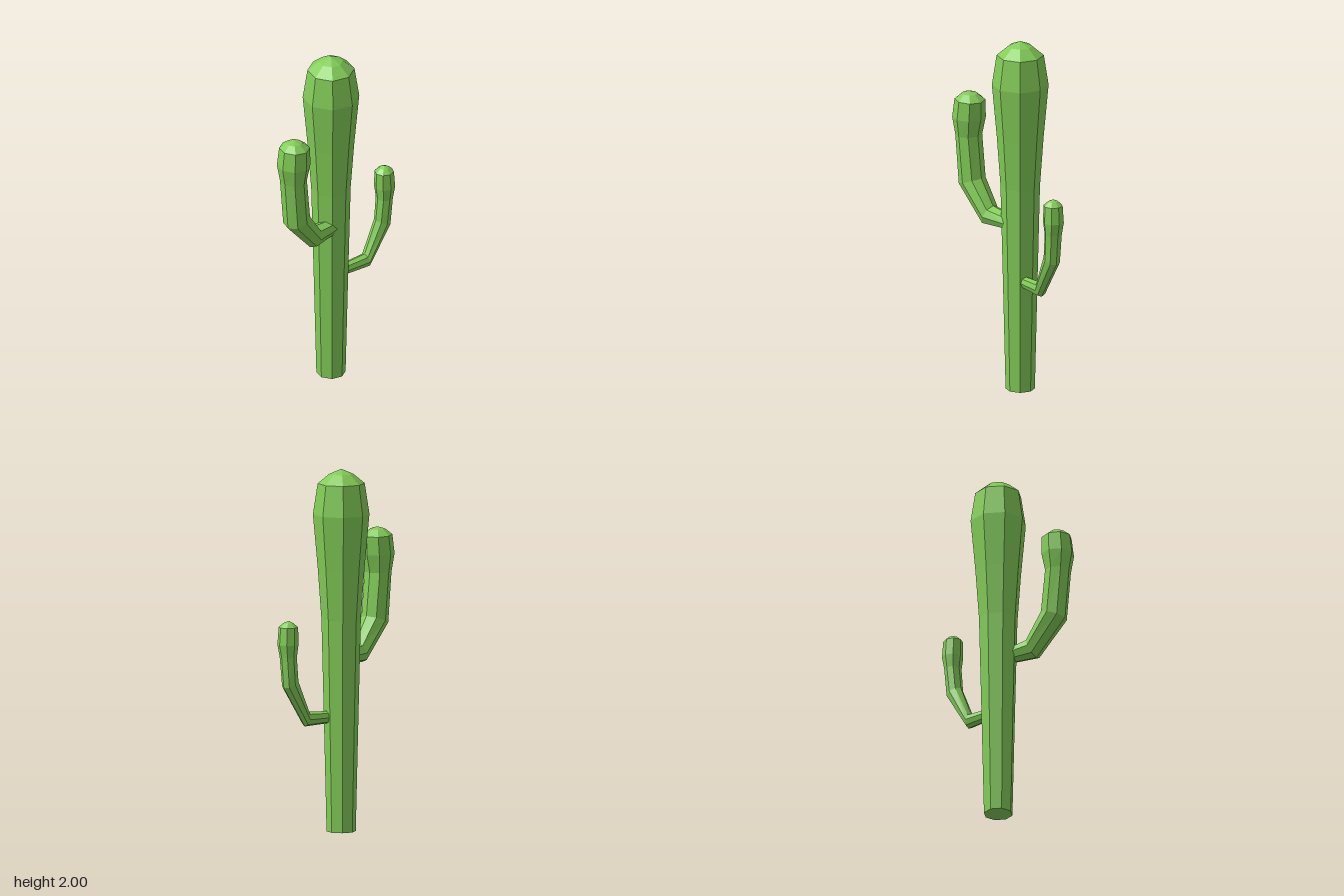
import * as THREE from 'three';

const SIDES = 8;
const green = new THREE.MeshStandardMaterial({ color: 0x82cc57 });
green.name = 'cactus green';

// Gives every face its own flat normal
function faceted(geometry) {
  const flat = geometry.toNonIndexed();
  flat.computeVertexNormals();
  return flat;
}

function part(name, geometry) {
  const mesh = new THREE.Mesh(faceted(geometry), green);
  mesh.name = name;
  return mesh;
}

// Bent arm: each ring is [inner reach, inner y, outer reach, outer y, half width],
// with reach measured from the origin along dir
function armGeometry(origin, dir, rings) {
  const side = new THREE.Vector3(dir.z, 0, -dir.x).normalize();
  const positions = [];
  const indices = [];
  rings.forEach(([d0, y0, d1, y1, r], k) => {
    for (let i = 0; i < SIDES; i++) {
      const a = (i / SIDES) * Math.PI * 2;
      const c = Math.cos(a);
      const reach = (d0 + d1) / 2 + ((d1 - d0) / 2) * c;
      const p = origin.clone().addScaledVector(dir, reach).addScaledVector(side, r * Math.sin(a));
      positions.push(p.x, (y0 + y1) / 2 + ((y1 - y0) / 2) * c, p.z);
      if (k > 0) {
        const j = (i + 1) % SIDES;
        const lo = (k - 1) * SIDES;
        const hi = k * SIDES;
        indices.push(lo + i, lo + j, hi + j, lo + i, hi + j, hi + i);
      }
    }
  });
  const geometry = new THREE.BufferGeometry();
  geometry.setAttribute('position', new THREE.Float32BufferAttribute(positions, 3));
  geometry.setIndex(indices);
  return geometry;
}

export function createModel() {
  const group = new THREE.Group();
  group.name = 'cactus';

  // Trunk: widens upwards to a low dome
  const profile = [
    [0, 0], [0.08, 0], [0.094, 0.6], [0.108, 1.17], [0.128, 1.45],
    [0.155, 1.75], [0.129, 1.92], [0.066, 1.972], [0, 2],
  ].map(([r, y]) => new THREE.Vector2(r, y));
  const trunk = part('trunk', new THREE.LatheGeometry(profile, SIDES));
  trunk.position.x = 0.02;
  group.add(trunk);

  // Upper arm on the model's right
  group.add(part('rightArm', armGeometry(
    new THREE.Vector3(0, 0, 0.04), new THREE.Vector3(-1, 0, 0), [
      [0, 0.955, 0, 0.955, 0],
      [0, 0.995, 0, 0.915, 0.043],
      [0.15, 1.02, 0.2, 0.905, 0.06],
      [0.24, 1.155, 0.383, 1.105, 0.075],
      [0.268, 1.39, 0.408, 1.39, 0.077],
      [0.245, 1.49, 0.427, 1.49, 0.093],
      [0.245, 1.59, 0.413, 1.597, 0.085],
      [0.288, 1.625, 0.375, 1.628, 0.043],
      [0.33, 1.64, 0.33, 1.64, 0],
    ])));

  // Lower, smaller arm on the model's left, turned slightly forward
  group.add(part('leftArm', armGeometry(
    new THREE.Vector3(0, 0, 0.015), new THREE.Vector3(1, 0, 0.2), [
      [0.05, 0.635, 0.05, 0.635, 0],
      [0.05, 0.665, 0.05, 0.602, 0.029],
      [0.23, 0.677, 0.25, 0.597, 0.036],
      [0.305, 0.86, 0.393, 0.82, 0.045],
      [0.318, 0.99, 0.408, 0.99, 0.049],
      [0.308, 1.06, 0.422, 1.06, 0.058],
      [0.309, 1.155, 0.415, 1.155, 0.053],
      [0.335, 1.178, 0.388, 1.178, 0.028],
      [0.362, 1.19, 0.362, 1.19, 0],
    ])));

  return group;
}
